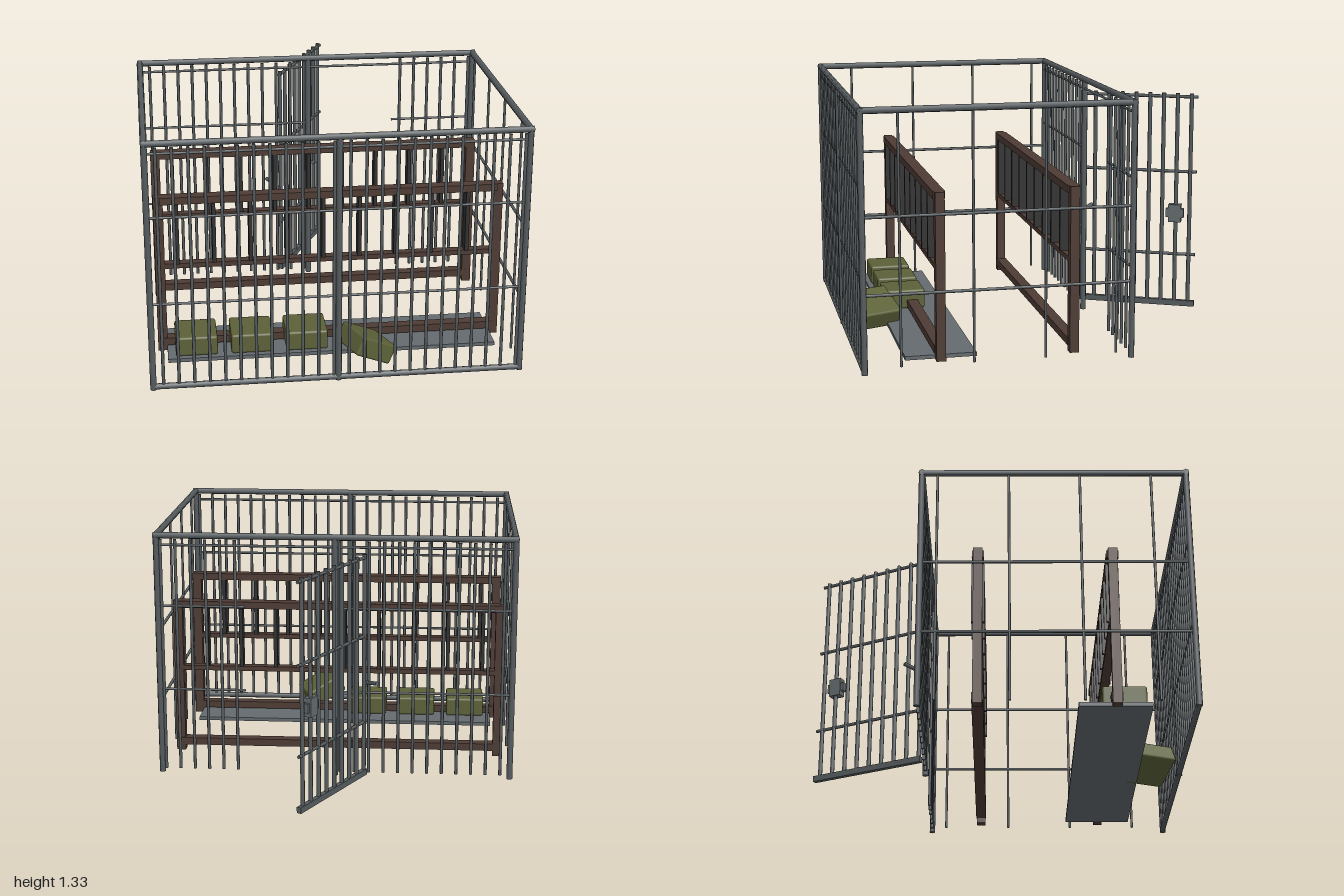
import * as THREE from 'three';
import { RoundedBoxGeometry } from 'three/addons/geometries/RoundedBoxGeometry.js';

const mat = (name, color) => {
  const m = new THREE.MeshStandardMaterial({ color });
  m.name = name;
  return m;
};

export function createModel() {
  const steel = mat('steel', 0x565c5f);
  const plate = mat('plate grey', 0x646b6e);
  const wood = mat('dark wood', 0x4e3b34);
  const slatMat = mat('dark slat', 0x303031);
  const olive = mat('olive', 0x5c6138);
  const model = new THREE.Group();

  const group = (name, parent = model) => {
    const g = new THREE.Group();
    g.name = name;
    parent.add(g);
    return g;
  };
  // round bar between two points
  const bar = (parent, name, a, b, r) => {
    const p = new THREE.Vector3(...a), q = new THREE.Vector3(...b);
    const d = q.clone().sub(p);
    const m = new THREE.Mesh(new THREE.CylinderGeometry(r, r, d.length(), 8), steel);
    m.position.copy(p).add(q).multiplyScalar(0.5);
    m.quaternion.setFromUnitVectors(new THREE.Vector3(0, 1, 0), d.normalize());
    m.name = name;
    parent.add(m);
  };
  const box = (parent, name, size, pos, material) => {
    const m = new THREE.Mesh(new THREE.BoxGeometry(...size), material);
    m.position.set(...pos);
    m.name = name;
    parent.add(m);
  };

  const X = 0.942, ZF = 0.982, ZB = -0.382, TOP = 1.311;

  // outer frame: corner posts and top rails
  const frame = group('cageFrame');
  for (const x of [-X, X]) {
    for (const z of [ZF, ZB]) bar(frame, 'cornerPost', [x, 0, z], [x, TOP, z], 0.016);
    bar(frame, 'sideTopRail', [x, TOP, ZB], [x, TOP, ZF], 0.017);
  }
  for (const z of [ZF, ZB]) {
    bar(frame, 'topRail', [-X - 0.015, TOP, z], [X + 0.015, TOP, z], 0.017);
    bar(frame, 'centrePost', [0, 0, z], [0, TOP, z], 0.016);
  }

  // front wall, and back wall with a doorway left open
  const front = group('frontWall');
  const back = group('backWall');
  const doorRight = 0.48;
  bar(front, 'bottomRail', [-X, 0.016, ZF], [X, 0.016, ZF], 0.016);
  for (let i = 0; i < 24; i++) {
    const x = -0.89 + i * 0.0787;
    bar(front, 'frontBar', [x, 0.02, ZF], [x, 1.29, ZF], 0.0085);
    if (x < 0 || x > doorRight) bar(back, 'backBar', [x, 0.02, ZB], [x, 1.29, ZB], 0.0085);
  }
  for (const y of [0.47, 0.93, 1.26]) {
    bar(front, 'crossBar', [-X, y, ZF], [X, y, ZF], 0.007);
    if (y > 1) bar(back, 'crossBar', [-X, y, ZB], [X, y, ZB], 0.007);
    else {
      bar(back, 'crossBar', [-X, y, ZB], [0, y, ZB], 0.007);
      bar(back, 'crossBar', [doorRight, y, ZB], [X, y, ZB], 0.007);
    }
  }

  // side walls
  for (const x of [-X, X]) {
    const side = group(x > 0 ? 'leftWall' : 'rightWall');
    for (const z of [0.8, 0.433, 0.067, -0.3]) bar(side, 'sideBar', [x, 0.03, z], [x, 1.3, z], 0.007);
    for (const y of [0.4, 0.79]) bar(side, 'sideCrossBar', [x, y, ZB], [x, y, ZF], 0.008);
  }

  // open door, swung outward at the back
  const door = group('door');
  door.position.set(-0.163, 0, -0.4);
  door.rotation.y = 1.1;
  const L = 0.668;
  for (let i = 0; i < 9; i++) {
    const x = 0.012 + i * 0.0775;
    bar(door, 'doorBar', [x, 0.03, 0], [x, 1.23, 0], 0.0115);
  }
  for (const y of [0.315, 0.79, 1.212]) bar(door, 'doorCrossBar', [0, y, 0], [L, y, 0], 0.009);
  box(door, 'doorBottomRail', [L, 0.032, 0.026], [L / 2, 0.031, 0], steel);
  box(door, 'latchBox', [0.07, 0.1, 0.045], [0.55, 0.552, 0], plate);
  box(door, 'latchBolt', [0.1, 0.05, 0.03], [0.55, 0.552, 0], plate);
  bar(model, 'latchHandle', [-0.17, 0.53, -0.395], [-0.232, 0.555, -0.495], 0.011);

  // two timber partitions
  for (const z of [0.593, -0.092]) {
    const p = group('partition');
    p.position.z = z;
    for (const s of [-1, 1]) box(p, 'partitionPost', [0.05, 0.86, 0.048], [s * 0.882, 0.462, 0], wood);
    box(p, 'topBeam', [1.75, 0.038, 0.062], [0, 0.873, 0], wood);
    box(p, 'middleRail', [1.72, 0.026, 0.048], [0, 0.512, 0], wood);
    box(p, 'bottomRail', [1.75, 0.04, 0.058], [0, 0.084, 0], wood);
    for (let i = 0; i < 9; i++) {
      box(p, 'slat', [0.02, 0.33, 0.068], [-0.79 + i * 0.189, 0.69, 0], slatMat);
    }
  }

  // low platform with bales
  box(model, 'platform', [1.72, 0.02, 0.365], [0, 0.045, 0.587], plate);
  const baleGeo = new RoundedBoxGeometry(0.218, 0.105, 0.224, 2, 0.012);
  const bale = (name, x, y, z) => {
    const m = new THREE.Mesh(baleGeo, olive);
    m.position.set(x, y, z);
    m.name = name;
    model.add(m);
    return m;
  };
  for (const x of [-0.71, -0.421, -0.134]) bale('bale', x, 0.108, 0.634);
  const fallen = bale('fallenBale', 0.163, 0.125, 0.835);
  fallen.rotation.set(0, 0.38, -0.47, 'YXZ');

  return model;
}
